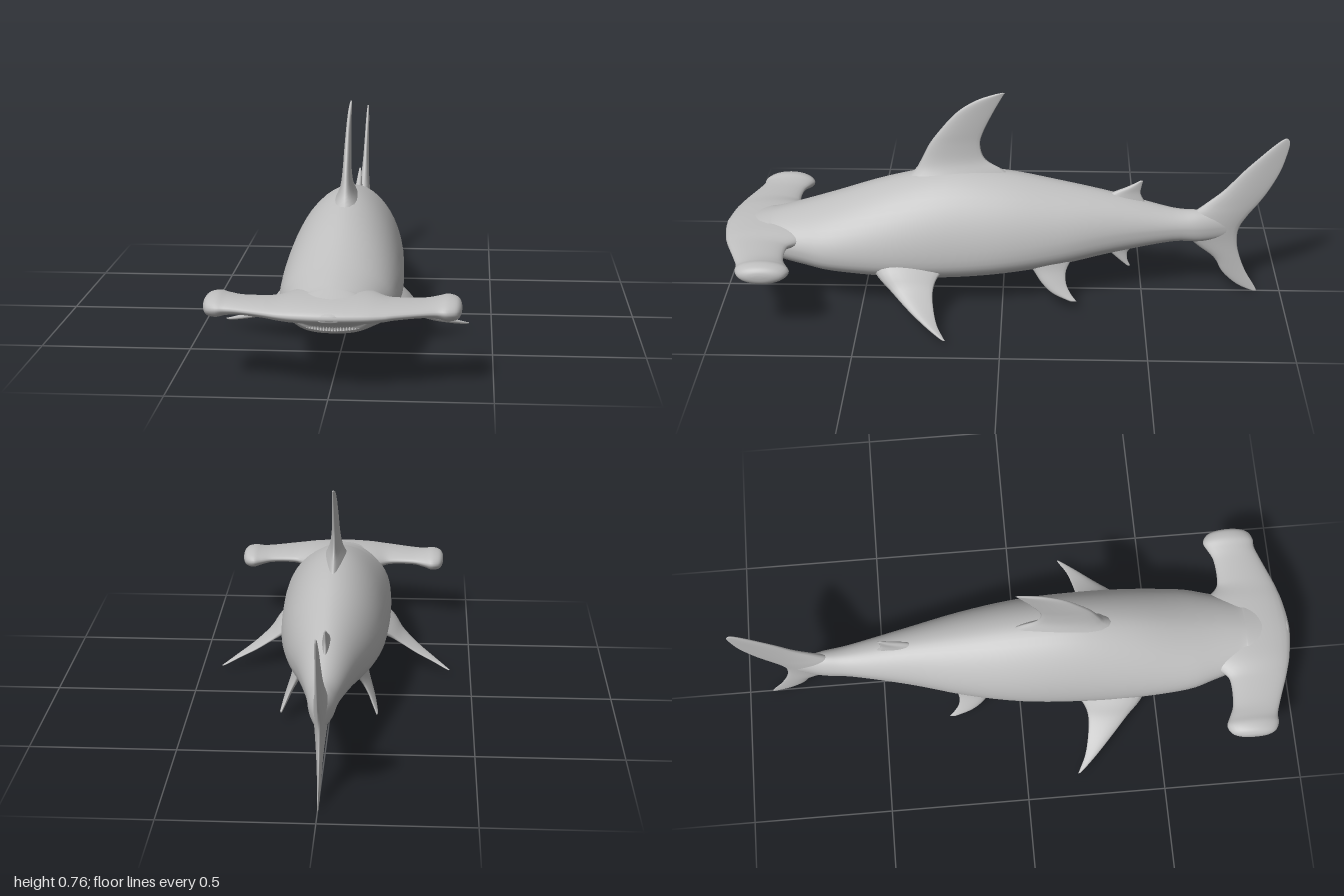
import * as THREE from 'three';

const skin = new THREE.MeshStandardMaterial({ color: 0xbfbfbf });
skin.name = 'grey skin';

// Resample rows of numbers with a Catmull-Rom spline per column
function smooth(rows, steps = 4) {
  const out = [];
  const at = i => rows[Math.min(Math.max(i, 0), rows.length - 1)];
  for (let i = 0; i < rows.length - 1; i++) {
    for (let s = 0; s < steps; s++) {
      const t = s / steps;
      out.push(rows[i].map((p1, c) => {
        const p0 = at(i - 1)[c], p2 = at(i + 1)[c], p3 = at(i + 2)[c];
        return p1 + 0.5 * t * (p2 - p0 + t * (2 * p0 - 5 * p1 + 4 * p2 - p3 + t * (3 * (p1 - p2) + p3 - p0)));
      }));
    }
  }
  out.push(rows[rows.length - 1]);
  return out;
}

// Closed skin over a list of rings, with both ends capped and faces turned outward
function loft(name, rings) {
  const n = rings[0].length, pts = rings.flat(), idx = [];
  for (let i = 0; i < rings.length - 1; i++) {
    for (let j = 0; j < n; j++) {
      const k = (j + 1) % n, a = i * n, b = a + n;
      idx.push(a + j, a + k, b + j, a + k, b + k, b + j);
    }
  }
  [0, rings.length - 1].forEach((r, end) => {
    const c = pts.length;
    pts.push(rings[r].reduce((s, p) => s.add(p), new THREE.Vector3()).divideScalar(n));
    for (let j = 0; j < n; j++) {
      const a = r * n + j, b = r * n + (j + 1) % n;
      if (end) idx.push(c, a, b);
      else idx.push(c, b, a);
    }
  });
  let volume = 0;
  const cross = new THREE.Vector3();
  for (let i = 0; i < idx.length; i += 3) {
    volume += pts[idx[i]].dot(cross.crossVectors(pts[idx[i + 1]], pts[idx[i + 2]]));
  }
  if (volume < 0) idx.reverse();
  const geo = new THREE.BufferGeometry().setFromPoints(pts);
  geo.setIndex(idx);
  geo.computeVertexNormals();
  const mesh = new THREE.Mesh(geo, skin);
  mesh.name = name;
  return mesh;
}

const angles = n => Array.from({ length: n }, (_, i) => (i / n) * Math.PI * 2);
const power = (v, e) => Math.sign(v) * Math.pow(Math.abs(v), e);

// Fin from rows of [x, y, leading z, trailing z, half thickness]
function fin(name, rows, side = 1) {
  const list = smooth(rows);
  return loft(name, list.map(([x, y, lead, trail, h], i) => {
    const a = list[Math.max(i - 1, 0)], b = list[Math.min(i + 1, list.length - 1)];
    const dx = b[0] - a[0], dy = b[1] - a[1], len = Math.hypot(dx, dy) || 1;
    return angles(20).map(t => {
      const off = h * Math.sin(t) * (1 + 0.4 * Math.cos(t));
      return new THREE.Vector3(
        side * (x - dy / len * off), y + dx / len * off,
        (lead + trail) / 2 + (lead - trail) / 2 * Math.cos(t));
    });
  }));
}

// Body: z, top y, bottom y, half width, height fraction of the widest line
function body() {
  const rows = [
    [0.988, 0.262, 0.24, 0.03, 0.5], [0.96, 0.27, 0.23, 0.1, 0.5], [0.9, 0.284, 0.21, 0.13, 0.5],
    [0.835, 0.301, 0.187, 0.13, 0.5], [0.82, 0.305, 0.165, 0.13, 0.5], [0.79, 0.313, 0.151, 0.138, 0.47],
    [0.7, 0.338, 0.134, 0.165, 0.42], [0.6, 0.37, 0.119, 0.19, 0.36], [0.4, 0.438, 0.101, 0.201, 0.31],
    [0.2, 0.478, 0.095, 0.197, 0.3], [0, 0.468, 0.108, 0.184, 0.32], [-0.2, 0.43, 0.135, 0.15, 0.37],
    [-0.4, 0.386, 0.175, 0.1, 0.44], [-0.6, 0.332, 0.21, 0.057, 0.5], [-0.7, 0.325, 0.208, 0.042, 0.5],
    [-0.78, 0.31, 0.22, 0.02, 0.5], [-0.83, 0.28, 0.245, 0.005, 0.5]];
  return loft('body', smooth(rows).map(([z, top, bottom, w, m]) => {
    const mid = bottom + (top - bottom) * m;
    return angles(48).map(t => {
      const c = Math.cos(t), s = Math.sin(t), e = s > 0 ? 1.1 : 0.8;
      return new THREE.Vector3(w * power(c, e), mid + (s > 0 ? top - mid : mid - bottom) * power(s, e), z);
    });
  }));
}

// Hammer-shaped head: x, front z, back z, top y, bottom y
function hammer() {
  const half = [
    [0.1, 0.98, 0.66, 0.288, 0.212], [0.16, 0.964, 0.735, 0.28, 0.22], [0.2, 0.95, 0.753, 0.277, 0.226],
    [0.28, 0.92, 0.75, 0.275, 0.228], [0.325, 0.906, 0.732, 0.279, 0.221], [0.355, 0.906, 0.72, 0.285, 0.212],
    [0.383, 0.892, 0.735, 0.28, 0.215], [0.396, 0.865, 0.765, 0.268, 0.228], [0.4, 0.835, 0.8, 0.255, 0.245]];
  const rows = [
    ...half.map(r => [-r[0], ...r.slice(1)]).reverse(), [0, 0.992, 0.6, 0.292, 0.21], ...half];
  return loft('hammerHead', smooth(rows).map(([x, front, back, top, bottom]) =>
    angles(28).map(t => new THREE.Vector3(x,
      (top + bottom) / 2 + (top - bottom) / 2 * Math.sin(t),
      (front + back) / 2 + (front - back) / 2 * Math.cos(t)))));
}

// Row of small teeth along the curved lower jaw
function teeth() {
  const group = new THREE.Group();
  group.name = 'teeth';
  const geo = new THREE.ConeGeometry(0.004, 0.014, 6);
  for (let i = -9; i <= 9; i++) {
    const u = i / 9, tooth = new THREE.Mesh(geo, skin);
    tooth.name = 'tooth';
    tooth.position.set(0.08 * u, 0.178 + 0.006 * u * u, 0.832 - 0.012 * u * u);
    group.add(tooth);
  }
  return group;
}

export function createModel() {
  const model = new THREE.Group();
  model.name = 'hammerheadShark';
  model.add(body(), hammer(), teeth());

  // Upright fins on the centre line
  model.add(fin('dorsalFin', [
    [0, 0.43, 0.36, -0.05, 0.055], [0, 0.475, 0.31, 0.0, 0.032], [0, 0.515, 0.287, 0.062, 0.019],
    [0, 0.57, 0.26, 0.081, 0.013], [0, 0.62, 0.225, 0.07, 0.011], [0, 0.69, 0.165, 0.037, 0.008],
    [0, 0.735, 0.1, 0.013, 0.006], [0, 0.758, 0.04, 0, 0.004], [0, 0.767, 0.005, -0.006, 0.002]]));
  model.add(fin('rearDorsalFin', [
    [0, 0.35, -0.33, -0.505, 0.02], [0, 0.388, -0.38, -0.486, 0.011],
    [0, 0.415, -0.44, -0.488, 0.007], [0, 0.438, -0.482, -0.493, 0.003]]));
  model.add(fin('analFin', [
    [0, 0.195, -0.35, -0.51, 0.015], [0, 0.165, -0.375, -0.452, 0.009],
    [0, 0.13, -0.412, -0.446, 0.006], [0, 0.1, -0.447, -0.458, 0.003]]));
  model.add(fin('tailFin', [
    [0, 0.004, -0.902, -0.918, 0.002], [0, 0.03, -0.845, -0.905, 0.004], [0, 0.08, -0.79, -0.875, 0.007],
    [0, 0.14, -0.755, -0.85, 0.011], [0, 0.2, -0.68, -0.836, 0.018], [0, 0.257, -0.64, -0.84, 0.024],
    [0, 0.31, -0.67, -0.87, 0.02], [0, 0.35, -0.715, -0.9, 0.015], [0, 0.406, -0.78, -0.936, 0.011],
    [0, 0.48, -0.845, -0.972, 0.008], [0, 0.55, -0.914, -0.992, 0.006],
    [0, 0.59, -0.957, -0.998, 0.004], [0, 0.606, -0.98, -0.99, 0.002]]));

  // Paired fins
  for (const [label, side] of [['left', 1], ['right', -1]]) {
    model.add(fin(label + 'PectoralFin', [
      [0.14, 0.175, 0.47, 0.18, 0.05], [0.195, 0.146, 0.435, 0.225, 0.032], [0.24, 0.112, 0.385, 0.24, 0.017],
      [0.3, 0.075, 0.325, 0.234, 0.011], [0.36, 0.048, 0.265, 0.219, 0.007],
      [0.405, 0.03, 0.216, 0.197, 0.004], [0.422, 0.025, 0.195, 0.188, 0.002]], side));
    model.add(fin(label + 'PelvicFin', [
      [0.1, 0.185, -0.07, -0.25, 0.03], [0.12, 0.142, -0.108, -0.226, 0.017], [0.14, 0.1, -0.14, -0.226, 0.011],
      [0.155, 0.066, -0.18, -0.243, 0.008], [0.167, 0.042, -0.24, -0.264, 0.004]], side));
  }
  return model;
}
